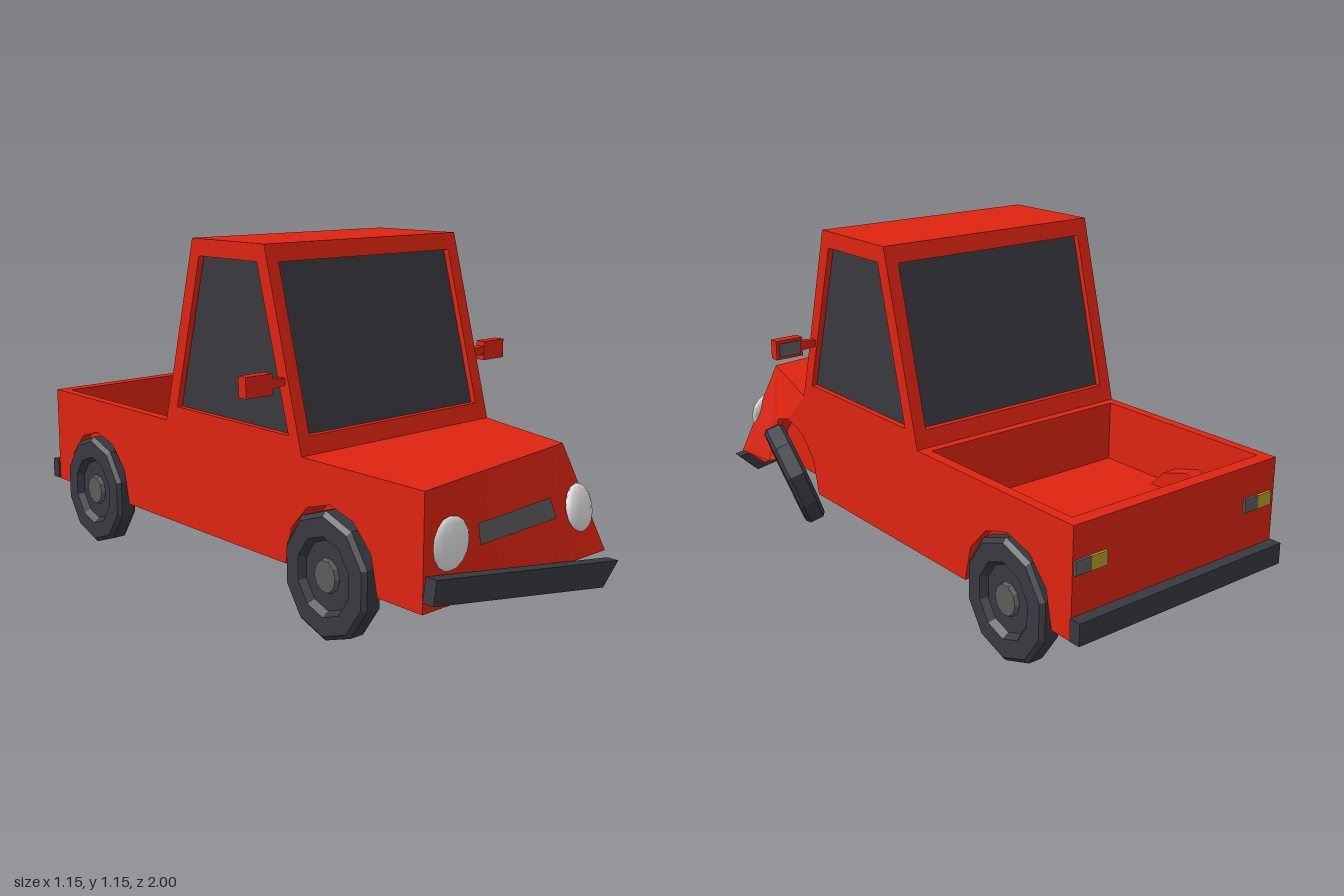
import * as THREE from 'three';

const mat = (name, color) => {
  const m = new THREE.MeshStandardMaterial({ color, side: THREE.DoubleSide });
  m.name = name;
  return m;
};

export function createModel() {
  const red = mat('red paint', 0xde2410);
  const glassMat = mat('dark glass', 0x38383e);
  const rubber = mat('dark rubber', 0x383940);
  const grey = mat('grey trim', 0x5c5c5c);
  const white = mat('headlight white', 0xe2e2e2);
  const amber = mat('amber lamp', 0xb89b2c);

  const car = new THREE.Group();
  car.name = 'pickupTruck';

  const add = (name, geo, material, parent = car) => {
    const mesh = new THREE.Mesh(geo, material);
    mesh.name = name;
    parent.add(mesh);
    return mesh;
  };
  const flat = (geo) => {
    const g = geo.index ? geo.toNonIndexed() : geo;
    g.computeVertexNormals();
    return g;
  };
  // Flat faces from a list of convex polygons
  const facets = (polys) => {
    const pos = [];
    for (const p of polys)
      for (let i = 1; i < p.length - 1; i++) pos.push(...p[0], ...p[i], ...p[i + 1]);
    const g = new THREE.BufferGeometry();
    g.setAttribute('position', new THREE.Float32BufferAttribute(pos, 3));
    g.computeVertexNormals();
    return g;
  };
  // Quads between two matching loops
  const ring = (a, b) => a.map((p, i) => {
    const j = (i + 1) % a.length;
    return [p, a[j], b[j], b[i]];
  });
  const box = (name, w, h, d, x, y, z, material, parent) => {
    const m = add(name, new THREE.BoxGeometry(w, h, d), material, parent);
    m.position.set(x, y, z);
    return m;
  };

  const W = 0.42, Y0 = 0.185, Y1 = 0.535, BACK = -0.96, FRONT = 0.96;
  const axles = [-0.68, 0.585];

  // Wheel arch outline as [z, y], from rear foot to front foot
  const arch = (zc) => Array.from({ length: 7 }, (_, i) => {
    const a = Math.PI * (1 - i / 6);
    return [zc + 0.2 * Math.cos(a), i % 6 ? 0.195 + 0.22 * Math.sin(a) : Y0];
  });

  // Side panels; the left one stops at the front arch where the dent begins
  for (const s of [-1, 1]) {
    const frontArch = arch(axles[1]);
    const pts = [[BACK, Y0], ...arch(axles[0])];
    if (s < 0) pts.push(...frontArch, [FRONT, Y0], [FRONT, Y1]);
    else pts.push(...frontArch.slice(0, 4), [0.46, Y1]);
    pts.push([BACK, Y1]);
    const g = new THREE.ShapeGeometry(new THREE.Shape(pts.map((p) => new THREE.Vector2(...p))));
    g.rotateY(-Math.PI / 2).translate(s * W, 0, 0);
    add(s < 0 ? 'rightSidePanel' : 'leftSidePanel', g, red);
  }

  // Dented left fender
  const T = [0.31, Y1, 0.86], B = [0.425, Y0, 0.955], D = [0.37, 0.325, 0.81];
  const H = [W, Y1, 0.46];
  const [P, A1, A2, A3] = arch(axles[1]).slice(3).map(([z, y], i) => [[W, 0.405, 0.385, 0.4][i], y, z]);
  add('dentedFender', facets([
    [H, P, T], [P, A1, T], [A1, D, T], [A1, A2, D], [A2, A3, D], [A3, B, D], [D, B, T],
  ]), red);

  // Hood and tail
  add('hood', facets([[[-W, Y1, 0.46], [-W, Y1, FRONT], T, H]]), red);
  add('tailgate', facets([[[-W, Y0, BACK], [-W, Y1, BACK], [W, Y1, BACK], [W, Y0, BACK]]]), red);

  // Front skin, pushed back towards the dented upper corner
  const frontPoint = (u, v, lift = 0) =>
    [-W + u * (0.845 - 0.115 * v), Y0 + v * (Y1 - Y0), FRONT - 0.1 * u * v - 0.005 * u * (1 - v) + lift];
  const frontPatch = (u0, u1, v0, v1, lift) => {
    const g = new THREE.PlaneGeometry(1, 1, 8, 6);
    const p = g.attributes.position;
    for (let i = 0; i < p.count; i++)
      p.setXYZ(i, ...frontPoint(u0 + (p.getX(i) + 0.5) * (u1 - u0), v0 + (p.getY(i) + 0.5) * (v1 - v0), lift));
    g.computeVertexNormals();
    return g;
  };
  add('frontSkin', frontPatch(0, 1, 0, 1, 0), red);
  add('grille', frontPatch(0.305, 0.775, 0.415, 0.6, 0.006), grey);

  // Underside with notches for the wheel wells
  const edge = (s) => [[s * W, BACK],
    ...axles.flatMap((z) => [[s * W, z - 0.2], [s * 0.33, z - 0.2], [s * 0.33, z + 0.2], [s * W, z + 0.2]]),
    [s * W, FRONT - 0.005]];
  const under = new THREE.Shape([...edge(1), ...edge(-1).reverse()].map((p) => new THREE.Vector2(...p)));
  add('underside', new THREE.ShapeGeometry(under).rotateX(Math.PI / 2).translate(0, Y0, 0), red);

  // Wheel wells
  for (const s of [-1, 1]) for (const zc of axles) {
    const outer = s > 0 && zc > 0 ? 0.375 : W;
    const a = arch(zc);
    const at = (x) => a.map(([z, y]) => [s * x, y, z]);
    add('wheelWell', facets([...ring(at(outer), at(0.33)).slice(0, 6), at(0.33)]), red);
  }

  // Cargo bed: rim, walls and floor
  const rect = (x, y, z0, z1) => [[-x, y, z0], [x, y, z0], [x, y, z1], [-x, y, z1]];
  const rim = rect(0.385, Y1, -0.915, -0.265), floor = rect(0.385, 0.33, -0.915, -0.265);
  add('cargoBed', facets([...ring(rect(W, Y1, BACK, -0.235), rim), ...ring(rim, floor), floor]), red);

  // Cab: framed walls with recessed windows
  const top = 1.155, wy0 = 0.59, wy1 = 1.1;
  const wall = (name, outer, inner, [dx, dy, dz]) => {
    const deep = inner.map(([x, y, z]) => [x + dx, y + dy, z + dz]);
    add(name + 'Frame', facets([...ring(outer, inner), ...ring(inner, deep)]), red);
    add(name + 'Window', facets([deep]), glassMat);
  };
  const across = (x, y0, z0, y1, z1) => [[-x, y0, z0], [x, y0, z0], [x, y1, z1], [-x, y1, z1]];
  const along = (x, y0, a, b, y1, c, d) => [[x, y0, a], [x, y0, b], [x, y1, c], [x, y1, d]];
  wall('front', across(W, Y1, 0.46, top, 0.29), across(0.375, wy0, 0.445, wy1, 0.305), [0, 0, -0.02]);
  wall('rear', across(W, Y1, -0.235, top, -0.07), across(0.375, wy0, -0.22, wy1, -0.085), [0, 0, 0.02]);
  for (const s of [-1, 1])
    wall(s < 0 ? 'right' : 'left', along(s * W, Y1, 0.46, -0.235, top, -0.07, 0.29),
      along(s * W, wy0, 0.4, -0.17, wy1, -0.035, 0.255), [-s * 0.02, 0, 0]);
  add('roof', facets([rect(W, top, -0.07, 0.29)]), red);

  // Wheels: ten-sided tyre with recessed rim and grey hub
  const tyre = flat(new THREE.LatheGeometry(
    [[0, -0.0375], [0.185, -0.0375], [0.2, -0.025], [0.2, 0.025], [0.185, 0.0375], [0.125, 0.0375], [0.11, 0.015], [0, 0.015]]
      .map((p) => new THREE.Vector2(...p)), 10, Math.PI / 10)).rotateZ(-Math.PI / 2);
  const hub = flat(new THREE.CylinderGeometry(0.05, 0.055, 0.015, 10)).rotateZ(-Math.PI / 2).translate(0.022, 0, 0);
  const wheel = (name, x, z, yaw, camber = 0) => {
    const g = new THREE.Group();
    g.name = name;
    add('tyre', tyre, rubber, g);
    add('hub', hub, grey, g);
    g.position.set(x, 0.2, z);
    g.rotation.set(0, yaw, camber);
    g.scale.z = 0.92;
    car.add(g);
  };
  wheel('rearRightWheel', -0.41, axles[0], Math.PI);
  wheel('frontRightWheel', -0.41, axles[1], Math.PI);
  wheel('rearLeftWheel', 0.397, axles[0], 0);
  wheel('bentFrontLeftWheel', 0.405, axles[1], -0.33, -0.36);

  // Bumpers: straight at the rear, hanging at the front
  box('rearBumper', 0.85, 0.07, 0.04, 0, 0.223, -0.98, rubber);
  const bumper = new THREE.Shape([[-0.42, 0.22], [0.36, 0.088], [0.435, 0.16], [-0.408, 0.293]]
    .map((p) => new THREE.Vector2(...p)));
  add('hangingFrontBumper', new THREE.ExtrudeGeometry(bumper, { depth: 0.04, bevelEnabled: false })
    .translate(0, 0, 0.96), rubber);

  // Headlights, the left one knocked askew
  const lamp = new THREE.SphereGeometry(0.08, 12, 8);
  const right = add('rightHeadlight', lamp, white);
  right.position.set(-0.305, 0.362, 0.952);
  right.scale.z = 0.22;
  const left = add('leftHeadlight', lamp, white);
  left.position.set(0.32, 0.34, 0.925);
  left.scale.set(1, 0.95, 0.3);
  left.rotation.set(-0.22, 0.2, -0.4);

  // Tail lamps
  for (const [xa, xg] of [[-0.37, -0.31], [0.325, 0.385]]) {
    box('amberTailLamp', 0.06, 0.045, 0.009, xa, 0.408, -0.964, amber);
    box('greyTailLamp', 0.06, 0.045, 0.009, xg, 0.408, -0.964, grey);
  }

  // Door mirrors
  for (const s of [-1, 1]) {
    const g = new THREE.Group();
    g.name = s < 0 ? 'rightMirror' : 'leftMirror';
    box('mirrorHousing', 0.1, 0.065, 0.035, s * 0.525, 0.752, 0.375, red, g);
    box('mirrorGlass', 0.08, 0.046, 0.006, s * 0.525, 0.752, 0.356, grey, g);
    const arm = add('mirrorArm', flat(new THREE.CylinderGeometry(0.022, 0.014, 0.075, 4, 1)
      .rotateY(Math.PI / 4).rotateZ(-s * Math.PI / 2)), red, g);
    arm.position.set(s * 0.44, 0.752, 0.375);
    car.add(g);
  }
  return car;
}
